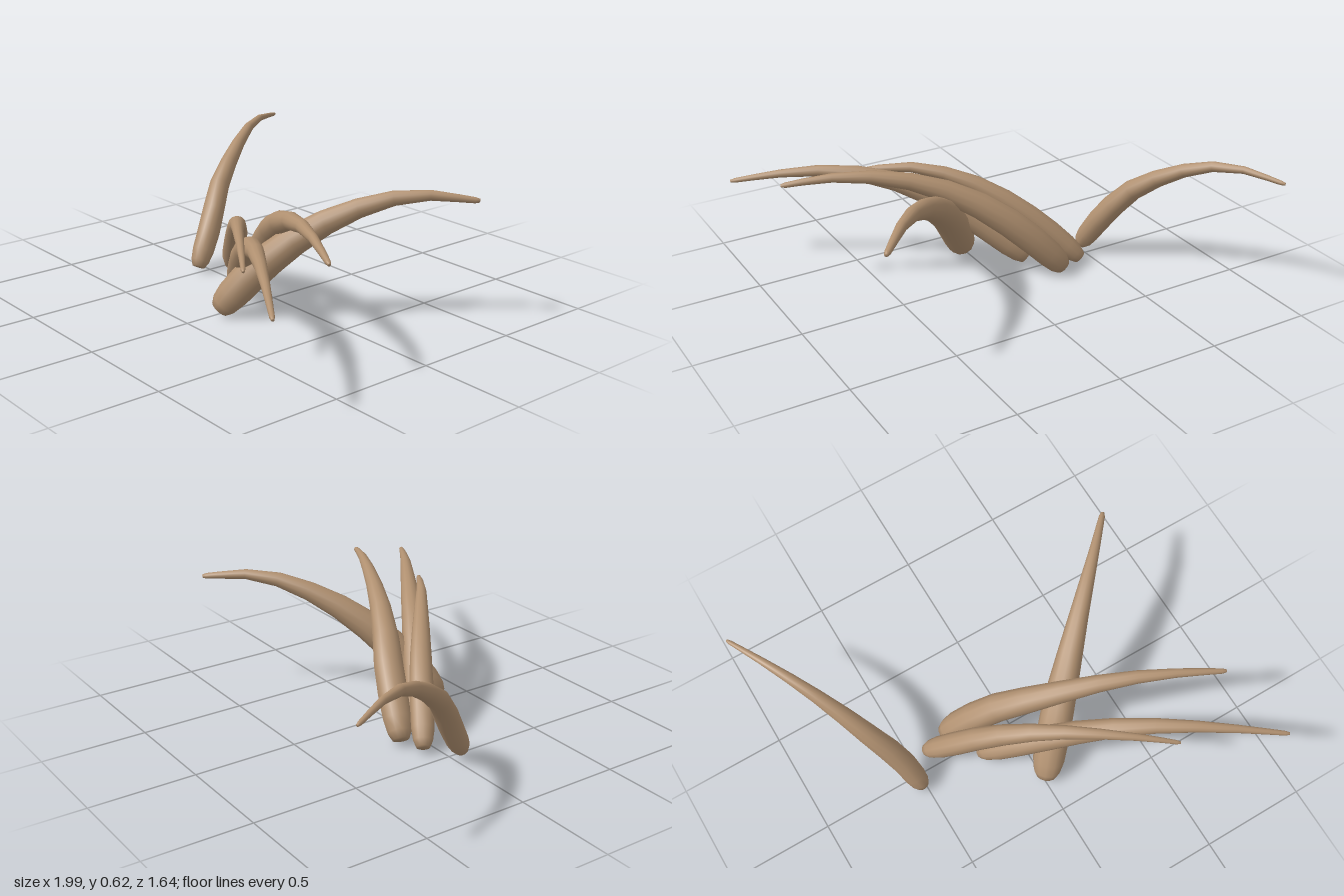
import * as THREE from 'three';

// Rings along a horn: [distance along the curve, share of the full radius]
const PROFILE = [
  [0, 0.56], [0.025, 0.8], [0.07, 0.95], [0.15, 1], [0.25, 0.98], [0.36, 0.89],
  [0.48, 0.74], [0.6, 0.58], [0.72, 0.44], [0.84, 0.31], [0.93, 0.23], [0.985, 0.18], [1, 0.11],
];
const SIDES = 12;
const UP = new THREE.Vector3(0, 1, 0);

// Tapered round horn swept along a smooth curve, closed at both ends
function hornGeometry(points, radius) {
  const curve = new THREE.CatmullRomCurve3(points.map((p) => new THREE.Vector3(...p)), false, 'centripetal');
  const positions = [];
  const index = [];
  for (const [t, share] of PROFILE) {
    const centre = curve.getPointAt(t);
    const tangent = curve.getTangentAt(t);
    const side = new THREE.Vector3().crossVectors(UP, tangent).normalize();
    const over = new THREE.Vector3().crossVectors(tangent, side);
    for (let j = 0; j < SIDES; j++) {
      const a = (j / SIDES) * Math.PI * 2;
      const p = centre.clone()
        .addScaledVector(side, Math.cos(a) * radius * share)
        .addScaledVector(over, Math.sin(a) * radius * share);
      positions.push(p.x, p.y, p.z);
    }
  }
  const rings = PROFILE.length;
  const first = rings * SIDES;
  const last = (rings - 1) * SIDES;
  positions.push(...curve.getPointAt(0).toArray(), ...curve.getPointAt(1).toArray());
  for (let j = 0; j < SIDES; j++) {
    const k = (j + 1) % SIDES;
    for (let i = 0; i < rings - 1; i++) {
      const a = i * SIDES + j, b = i * SIDES + k;
      index.push(a, b, a + SIDES, b, b + SIDES, a + SIDES);
    }
    index.push(first, k, j, first + 1, last + j, last + k);
  }
  const geometry = new THREE.BufferGeometry();
  geometry.setAttribute('position', new THREE.Float32BufferAttribute(positions, 3));
  geometry.setIndex(index);
  geometry.computeVertexNormals();
  return geometry;
}

// Centre lines from thick root to thin tip
const HORNS = [
  { name: 'separateHorn', radius: 0.056, points: [
    [-0.515, 0.03, 0.06], [-0.56, 0.21, -0.05], [-0.64, 0.38, -0.17], [-0.735, 0.51, -0.34],
    [-0.82, 0.585, -0.49], [-0.89, 0.61, -0.62], [-0.99, 0.59, -0.82]] },
  { name: 'backSweptHorn', radius: 0.079, points: [
    [0.01, 0.035, 0.325], [0.1, 0.19, 0.225], [0.22, 0.35, 0.1], [0.37, 0.485, -0.05],
    [0.52, 0.57, -0.2], [0.63, 0.6, -0.31], [0.81, 0.58, -0.5]] },
  { name: 'upperHorn', radius: 0.07, points: [
    [-0.295, 0.04, -0.115], [-0.18, 0.17, -0.07], [-0.05, 0.295, -0.01], [0.11, 0.41, 0.08],
    [0.3, 0.5, 0.17], [0.5, 0.545, 0.26], [0.68, 0.55, 0.345], [0.88, 0.52, 0.44]] },
  { name: 'outerHorn', radius: 0.056, points: [
    [-0.415, 0.04, -0.08], [-0.3, 0.165, 0], [-0.18, 0.28, 0.08], [-0.03, 0.395, 0.19],
    [0.13, 0.465, 0.31], [0.27, 0.485, 0.415], [0.41, 0.465, 0.51], [0.54, 0.43, 0.6]] },
  { name: 'lowerHorn', radius: 0.062, points: [
    [-0.195, 0.04, 0.06], [-0.05, 0.18, 0.155], [0.09, 0.3, 0.245], [0.22, 0.385, 0.325],
    [0.4, 0.455, 0.435], [0.6, 0.482, 0.565], [0.78, 0.465, 0.68], [0.99, 0.42, 0.815]] },
];

export function createModel() {
  const group = new THREE.Group();
  group.name = 'horns';
  const material = new THREE.MeshStandardMaterial({ color: 0xb09070 });
  for (const { name, radius, points } of HORNS) {
    const horn = new THREE.Mesh(hornGeometry(points, radius), material);
    horn.name = name;
    group.add(horn);
  }
  return group;
}
